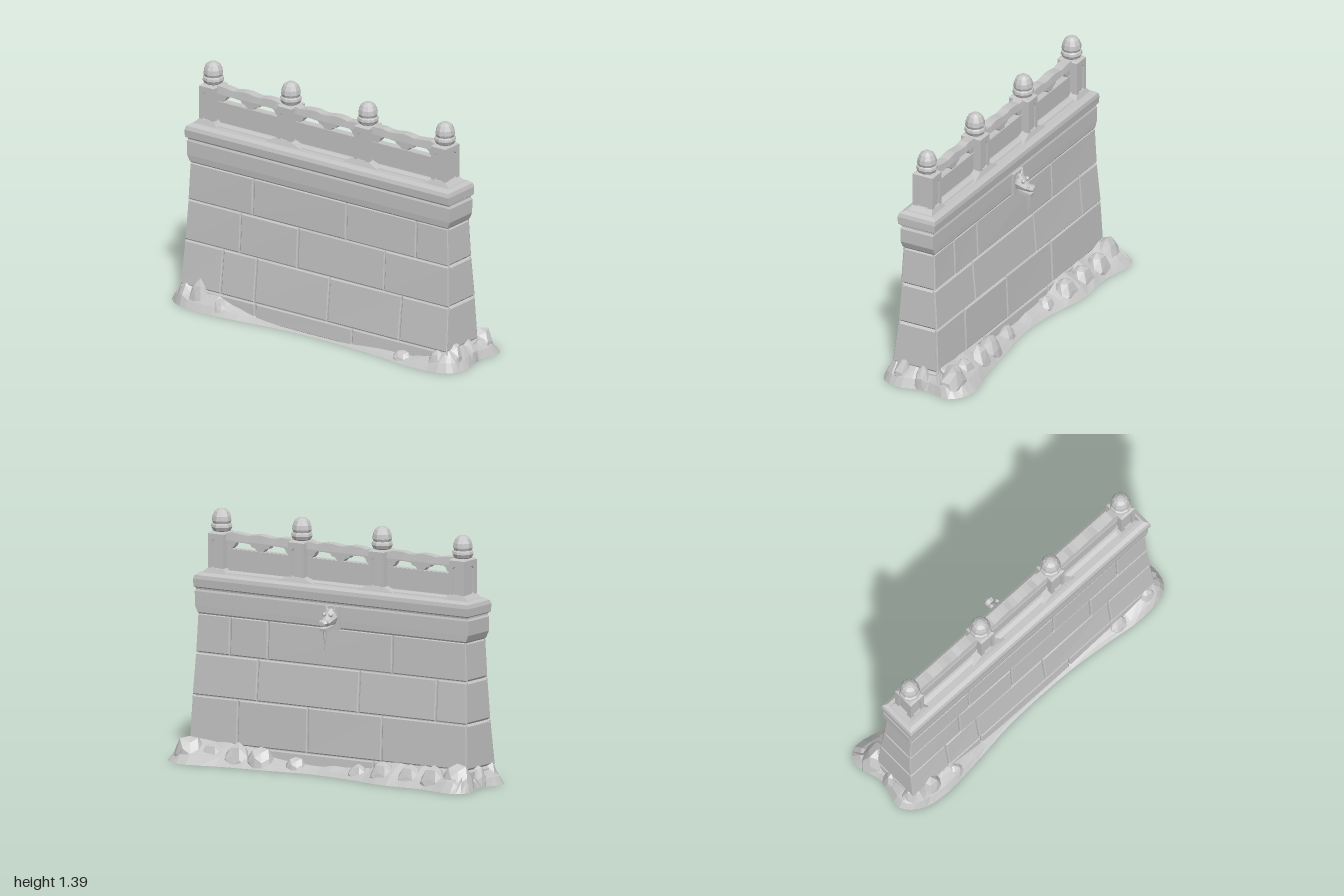
import * as THREE from 'three';

const stone = new THREE.MeshStandardMaterial({ color: 0xc4c4c4, side: THREE.DoubleSide });
stone.name = 'greyStone';

let seed = 7;
const rand = () => (seed = (seed * 16807) % 2147483647) / 2147483647;
const jitter = (a) => (rand() - 0.5) * 2 * a;
const V = (x, y, z) => new THREE.Vector3(x, y, z);

function add(parent, name, geo, x = 0, y = 0, z = 0) {
  const g = geo.index ? geo.toNonIndexed() : geo;
  g.computeVertexNormals(); // one normal per facet
  const m = new THREE.Mesh(g, stone);
  m.name = name;
  m.position.set(x, y, z);
  parent.add(m);
  return m;
}

// Skin a stack of equal closed rings; optional fan over the last one
function loft(rings, cap = true) {
  const n = rings[0].length, pts = rings.flat(), idx = [];
  for (let r = 0; r < rings.length - 1; r++) {
    for (let i = 0; i < n; i++) {
      const a = r * n + i, b = r * n + (i + 1) % n;
      idx.push(a, b, b + n, a, b + n, a + n);
    }
  }
  const last = (rings.length - 1) * n;
  if (cap) for (let i = 1; i < n - 1; i++) idx.push(last, last + i, last + i + 1);
  const g = new THREE.BufferGeometry().setFromPoints(pts);
  g.setIndex(idx);
  return g;
}
const rectRing = (y, hw, zf, zb) => [V(-hw, y, zf), V(hw, y, zf), V(hw, y, zb), V(-hw, y, zb)];

// Wall taper: height, half width, front z, back z
const taper = [[0, 0.925, 0.2, -0.1], [0.1, 0.915, 0.195, -0.093], [0.355, 0.905, 0.166, -0.082],
  [0.59, 0.895, 0.152, -0.062], [0.81, 0.885, 0.145, -0.055]];
function wallAt(y) {
  let i = 0;
  while (i < taper.length - 2 && y > taper[i + 1][0]) i++;
  const t = (y - taper[i][0]) / (taper[i + 1][0] - taper[i][0]);
  return taper[i].slice(1).map((v, k) => v + (taper[i + 1][k + 1] - v) * t);
}

// Bevelled block face standing on the wall core; s = 1 front, -1 back
function block(x0, x1, y0, y1, s) {
  const ring = (inset, depth, wob) => {
    const r = [[x0, y0, 1, 1], [x1, y0, -1, 1], [x1, y1, -1, -1], [x0, y1, 1, -1]].map(([x, y, sx, sy]) => {
      const py = y + sy * inset, [hw, zf, zb] = wallAt(py);
      const px = Math.abs(x) > 0.95 ? Math.sign(x) * (hw - inset * 0.6) : x + sx * inset;
      return V(px, py, (s > 0 ? zf : zb) + s * (depth + jitter(wob)));
    });
    return s > 0 ? r : r.reverse();
  };
  return loft([ring(0.003, -0.016, 0), ring(0.003, -0.005, 0), ring(0.009, 0, 0.002)]);
}

function buildWall(root) {
  const wall = new THREE.Group();
  wall.name = 'wall';
  root.add(wall);
  const levels = [0, 0.1, 0.355, 0.59, 0.81];
  const front = [[-0.4, 0.265], [-0.64, -0.41, 0.09, 0.585], [-0.53, -0.135, 0.46], [-0.45, 0.19, 0.67]];
  const back = [[-0.3, 0.4], [-0.35, 0.14, 0.6], [-0.7, -0.19, 0.48], [-0.4, 0.42, 0.67]];
  for (let c = 0; c < 4; c++) {
    const y0 = levels[c], y1 = levels[c + 1];
    const rings = [[y0, 0.012], [y0 + 0.012, 0], [y1 - 0.012, 0], [y1, 0.012]].map(([y, e]) => {
      const [hw, zf, zb] = wallAt(y);
      return rectRing(y, hw - e, zf - 0.011, zb + 0.011);
    });
    add(wall, 'courseCore', loft(rings, false));
    for (const [joints, s] of [[front[c], 1], [back[c], -1]]) {
      const xs = [-1, ...joints, 1];
      for (let i = 0; i < xs.length - 1; i++) add(wall, 'wallBlock', block(xs[i], xs[i + 1], y0, y1, s));
    }
  }
  // Cornice and coping
  const cornice = [[0.805, 0.878, 0.138, -0.05], [0.815, 0.887, 0.146, -0.056], [0.85, 0.902, 0.15, -0.057],
    [0.93, 0.904, 0.15, -0.057], [0.942, 0.897, 0.145, -0.053], [0.95, 0.897, 0.15, -0.055],
    [0.957, 0.906, 0.164, -0.066], [1.0, 0.907, 0.168, -0.07], [1.022, 0.9, 0.16, -0.066],
    [1.036, 0.88, 0.138, -0.05]];
  add(wall, 'cornice', loft(cornice.map((r) => rectRing(...r))));
}

const railZ = 0.045;
const poly = (pts, Type = THREE.Shape) => new Type(pts.map(([x, y]) => new THREE.Vector2(x, y)));
const octagon = (a, b, c) => [[-a, -b + c], [-a, b - c], [-a + c, b], [a - c, b], [a, b - c], [a, -b + c], [a - c, -b], [-a + c, -b]];
const extrude = (shape, depth) => new THREE.ExtrudeGeometry(shape, { depth, bevelEnabled: false });

function post(x) {
  const g = new THREE.Group();
  g.name = 'railingPost';
  g.position.set(x, 1.03, railZ);
  const w = 0.1, d = 0.125, h = 0.215;
  add(g, 'postCore', new THREE.BoxGeometry(w - 0.02, h, d - 0.02), 0, h / 2, 0);
  // Four frames around sunken panels
  for (let k = 0; k < 4; k++) {
    const side = k % 2, a = (side ? d - 0.02 : w) / 2;
    const s = poly([[-a, -h / 2], [a, -h / 2], [a, h / 2], [-a, h / 2]]);
    s.holes.push(poly(octagon(side ? 0.033 : 0.027, h / 2 - 0.025, 0.013), THREE.Path));
    const frame = extrude(s, 0.01).translate(0, 0, (side ? w : d) / 2 - 0.01).rotateY(k * Math.PI / 2);
    add(g, 'postFrame', frame, 0, h / 2, 0);
  }
  add(g, 'postCap', loft([rectRing(0, 0.05, 0.0625, -0.0625), rectRing(0.008, 0.05, 0.0625, -0.0625),
    rectRing(0.018, 0.04, 0.05, -0.05)]), 0, h, 0);
  // Flared foot
  const inner = Math.abs(x) < 0.5;
  add(g, 'postFoot', loft([rectRing(0, inner ? 0.125 : 0.08, 0.075, -0.075), rectRing(0.008, inner ? 0.115 : 0.075, 0.073, -0.073),
    rectRing(0.032, 0.05, 0.063, -0.063)]));
  // Bud finial
  const profile = [[0, 0], [0.045, 0], [0.047, 0.008], [0.04, 0.014], [0.052, 0.022], [0.061, 0.04], [0.058, 0.054],
    [0.05, 0.06], [0.056, 0.075], [0.052, 0.1], [0.04, 0.125], [0.02, 0.14], [0, 0.143]];
  add(g, 'finial', new THREE.LatheGeometry(profile.map(([r, y]) => new THREE.Vector2(r, y)), 10), 0, h + 0.002, 0);
  return g;
}

function railPanel(x0, x1) {
  const g = new THREE.Group();
  g.name = 'railPanel';
  const len = x1 - x0, a = len / 2;
  g.position.set((x0 + x1) / 2, 0, railZ);
  // Slab with a pair of openings beside a scrolled bracket
  const s = poly([[-a, 1.03], [a, 1.03], [a, 1.235], [-a, 1.235]]);
  for (const m of [-1, 1]) {
    const hole = [[0.02, 1.172], [0.19, 1.172], [0.172, 1.186], [0.165, 1.202], [0.15, 1.21], [0.11, 1.211],
      [0.065, 1.207], [0.058, 1.194], [0.035, 1.188]];
    s.holes.push(poly(hole.map(([x, y]) => [m * x, y]), THREE.Path));
  }
  add(g, 'panelSlab', extrude(s, 0.036), 0, 0, -0.018);
  add(g, 'middleRail', new THREE.BoxGeometry(len, 0.012, 0.048), 0, 1.165, 0);
  add(g, 'panelPlinth', loft([rectRing(1.03, a, 0.06, -0.06), rectRing(1.042, a, 0.055, -0.055),
    rectRing(1.05, a, 0.03, -0.03)]));
  // Worn, uneven handrail
  const rail = new THREE.BoxGeometry(len, 0.04, 0.066, 12, 1, 1);
  const p = rail.attributes.position;
  for (let i = 0; i < p.count; i++) {
    if (p.getY(i) > 0) {
      const x = p.getX(i);
      p.setY(i, 0.02 + 0.005 * Math.sin(x * 37 + x0 * 5) + 0.003 * Math.sin(x * 83));
      p.setZ(i, p.getZ(i) * 0.82);
    }
  }
  add(g, 'handrail', rail, 0, 1.24, 0);
  return g;
}

// Beast-head waterspout on the back, with a frozen drip
function spout() {
  const g = new THREE.Group();
  g.name = 'waterspout';
  g.position.set(-0.01, 0, 0);
  add(g, 'spoutPlate', new THREE.BoxGeometry(0.1, 0.13, 0.025), 0, 0.87, -0.062);
  const ring = (z, y, rx, ry) => Array.from({ length: 8 }, (_, i) => {
    const t = -i / 8 * Math.PI * 2;
    return V(Math.cos(t) * rx, y + Math.sin(t) * ry, z);
  });
  add(g, 'head', loft([ring(-0.055, 0.875, 0.04, 0.05), ring(-0.085, 0.875, 0.043, 0.048), ring(-0.115, 0.86, 0.034, 0.033),
    ring(-0.135, 0.85, 0.026, 0.02), ring(-0.16, 0.852, 0.03, 0.02), ring(-0.174, 0.848, 0.018, 0.012)]));
  add(g, 'jaw', new THREE.BoxGeometry(0.04, 0.016, 0.08), 0, 0.818, -0.12).rotation.x = -0.15;
  for (const m of [-1, 1]) {
    const ear = add(g, 'ear', new THREE.ConeGeometry(0.016, 0.055, 5), m * 0.027, 0.922, -0.08);
    ear.rotation.z = -m * 0.3;
    add(g, 'brow', new THREE.IcosahedronGeometry(0.014), m * 0.021, 0.892, -0.115);
  }
  add(g, 'drip', new THREE.ConeGeometry(0.013, 0.14, 6).rotateX(Math.PI), 0, 0.745, -0.136);
  return g;
}

function buildGround(root) {
  // Skirt outline: x, z, height where it meets the wall
  const outline = [[-0.99, 0.16, 0.1], [-0.9, 0.25, 0.12], [-0.75, 0.28, 0.12], [-0.5, 0.26, 0.05], [-0.2, 0.225, 0.015],
    [0.2, 0.22, 0.015], [0.5, 0.245, 0.05], [0.75, 0.27, 0.06], [0.95, 0.23, 0.12], [0.995, 0.12, 0.12], [0.96, -0.04, 0.1],
    [0.985, -0.2, 0.12], [0.87, -0.28, 0.12], [0.6, -0.23, 0.12], [0.35, -0.2, 0.08], [0.1, -0.165, 0.05],
    [-0.15, -0.18, 0.07], [-0.45, -0.24, 0.1], [-0.7, -0.23, 0.11], [-0.93, -0.265, 0.12], [-0.99, -0.2, 0.12], [-0.95, 0, 0.1]];
  const pts = new THREE.CatmullRomCurve3(outline.map(([x, z, h]) => V(x, h, z)), true).getPoints(72).slice(0, 72);
  const bump = pts.map(() => 1 + jitter(0.2));
  const rings = [[0, 0], [0.25, 0.4], [0.6, 0.72], [1, 1]].map(([t, u]) => pts.map((p, i) => {
    const ix = THREE.MathUtils.clamp(p.x, -0.88, 0.88), iz = THREE.MathUtils.clamp(p.z, -0.07, 0.17);
    return V(p.x + (ix - p.x) * t, Math.max(0, p.y) * u * (u > 0 ? bump[i] : 1), p.z + (iz - p.z) * t);
  }));
  add(root, 'groundSkirt', loft(rings, false));

  // Boulders: x, z, radius, height
  const rocks = [[-0.88, -0.13, 0.09, 0.15], [-0.74, -0.15, 0.08, 0.13], [-0.58, -0.14, 0.08, 0.12], [-0.4, -0.14, 0.08, 0.12],
    [-0.22, -0.12, 0.06, 0.08], [0.2, -0.11, 0.06, 0.08], [0.42, -0.13, 0.08, 0.12], [0.56, -0.14, 0.08, 0.13],
    [0.72, -0.14, 0.08, 0.12], [0.87, -0.16, 0.09, 0.15], [0.91, 0.0, 0.06, 0.13], [0.9, 0.13, 0.07, 0.15],
    [-0.91, 0.02, 0.05, 0.13], [-0.88, 0.16, 0.07, 0.13], [-0.78, 0.19, 0.07, 0.16], [0.85, 0.19, 0.06, 0.11],
    [0.62, 0.2, 0.06, 0.06], [-0.62, 0.21, 0.06, 0.08]];
  for (const [x, z, r, h] of rocks) {
    const geo = new THREE.IcosahedronGeometry(1, 1);
    const p = geo.attributes.position, ph = x * 17 + z * 31;
    for (let i = 0; i < p.count; i++) {
      const v = V(0, 0, 0).fromBufferAttribute(p, i);
      v.multiplyScalar(1 + 0.12 * Math.sin(v.x * 4 + ph) * Math.cos(v.z * 3 + v.y * 3 - ph));
      p.setXYZ(i, v.x * r * 1.1, Math.max(0, v.y) * h * 0.95, v.z * r * 0.9);
    }
    add(root, 'boulder', geo, x, 0.002, z);
  }
}

export function createModel() {
  const root = new THREE.Group();
  root.name = 'stoneWall';
  buildWall(root);
  const posts = [-0.8, -0.267, 0.263, 0.793];
  posts.forEach((x, i) => {
    root.add(post(x));
    if (i < 3) root.add(railPanel(x + 0.048, posts[i + 1] - 0.048));
  });
  root.add(spout());
  buildGround(root);
  return root;
}
